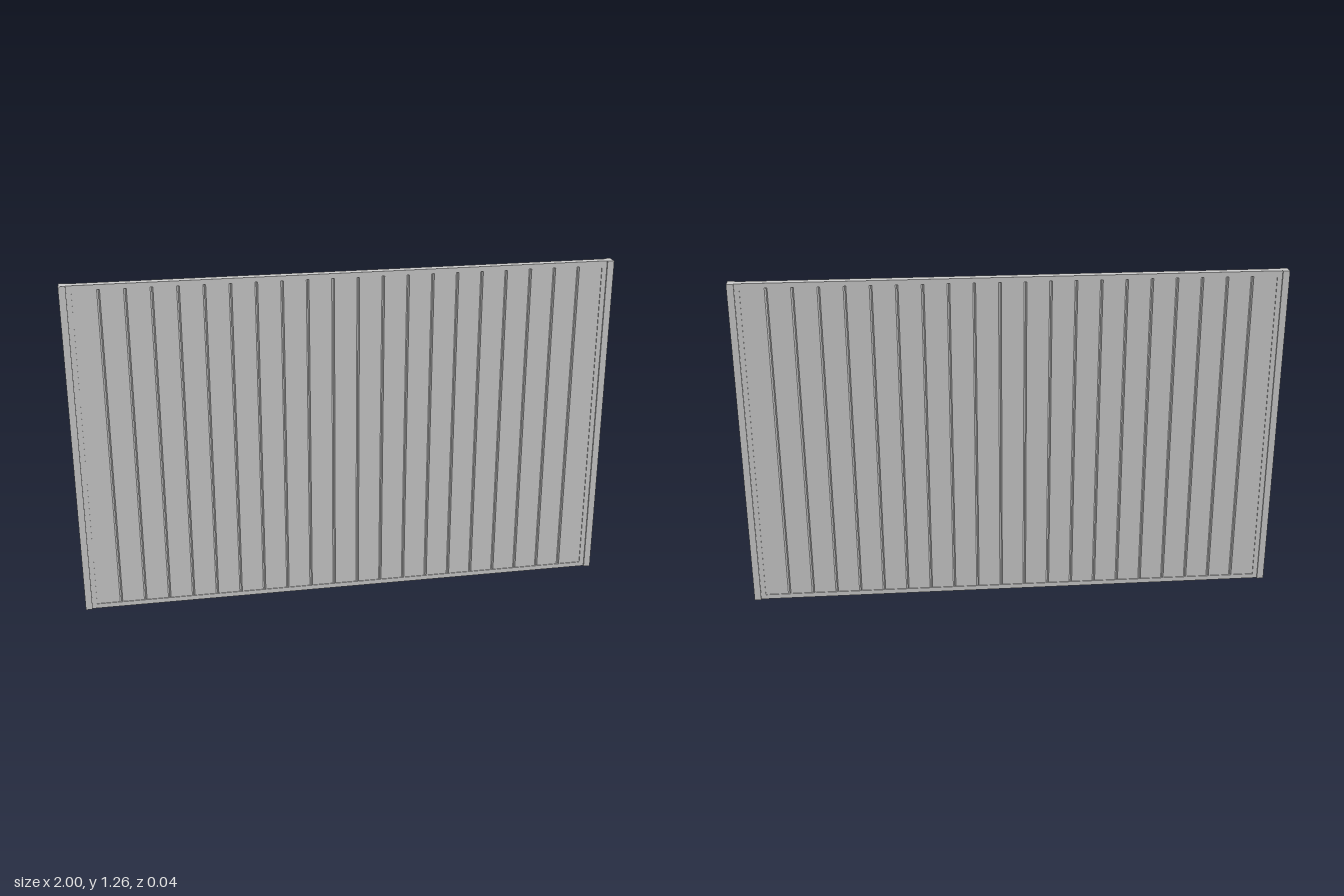
import * as THREE from 'three';

const HEIGHT = 1.26, POST_W = 0.025, POST_D = 0.042;
const FRAME_D = 0.03, FRAME_W = 0.018;
const BOARD_D = 0.024, BOARDS = 21, GROOVE = 0.005;

const material = new THREE.MeshStandardMaterial({ color: 0xcccccc, flatShading: true });

export function createModel() {
  const group = new THREE.Group();
  const add = (name, geometry, x, y, z) => {
    const mesh = new THREE.Mesh(geometry, material);
    mesh.name = name;
    mesh.position.set(x, y, z);
    group.add(mesh);
    return mesh;
  };

  // End posts, slightly thicker than the frame
  for (const [name, side] of [['leftPost', 1], ['rightPost', -1]]) {
    add(name, new THREE.BoxGeometry(POST_W, HEIGHT, POST_D), side * (1 - POST_W / 2), HEIGHT / 2, 0);
  }

  // Rectangular frame with an opening for the boards
  const outerX = 1 - POST_W, innerX = outerX - FRAME_W;
  const rectangle = (path, x, y0, y1) => path.moveTo(-x, y0).lineTo(x, y0).lineTo(x, y1).lineTo(-x, y1).closePath();
  const frame = rectangle(new THREE.Shape(), outerX, 0, HEIGHT);
  frame.holes.push(rectangle(new THREE.Path(), innerX, FRAME_W, HEIGHT - FRAME_W));
  add('frame', new THREE.ExtrudeGeometry(frame, { depth: FRAME_D, bevelEnabled: false }), 0, 0, -FRAME_D / 2);

  // Vertical boards; chamfered edges meet in V grooves on both faces
  const pitch = (2 * innerX) / BOARDS, w = pitch / 2, d = BOARD_D / 2;
  const boardHeight = HEIGHT - 2 * FRAME_W;
  for (let i = 0; i < BOARDS; i++) {
    const left = i === 0 ? 0 : GROOVE;
    const right = i === BOARDS - 1 ? 0 : GROOVE;
    const profile = new THREE.Shape([
      [-w + left, -d], [w - right, -d], [w, -d + right], [w, d - right],
      [w - right, d], [-w + left, d], [-w, d - left], [-w, -d + left],
    ].map(([x, y]) => new THREE.Vector2(x, y)));
    const geometry = new THREE.ExtrudeGeometry(profile, { depth: boardHeight, bevelEnabled: false });
    geometry.rotateX(-Math.PI / 2);
    add(`board${i + 1}`, geometry, -innerX + (i + 0.5) * pitch, FRAME_W, 0);
  }
  return group;
}
